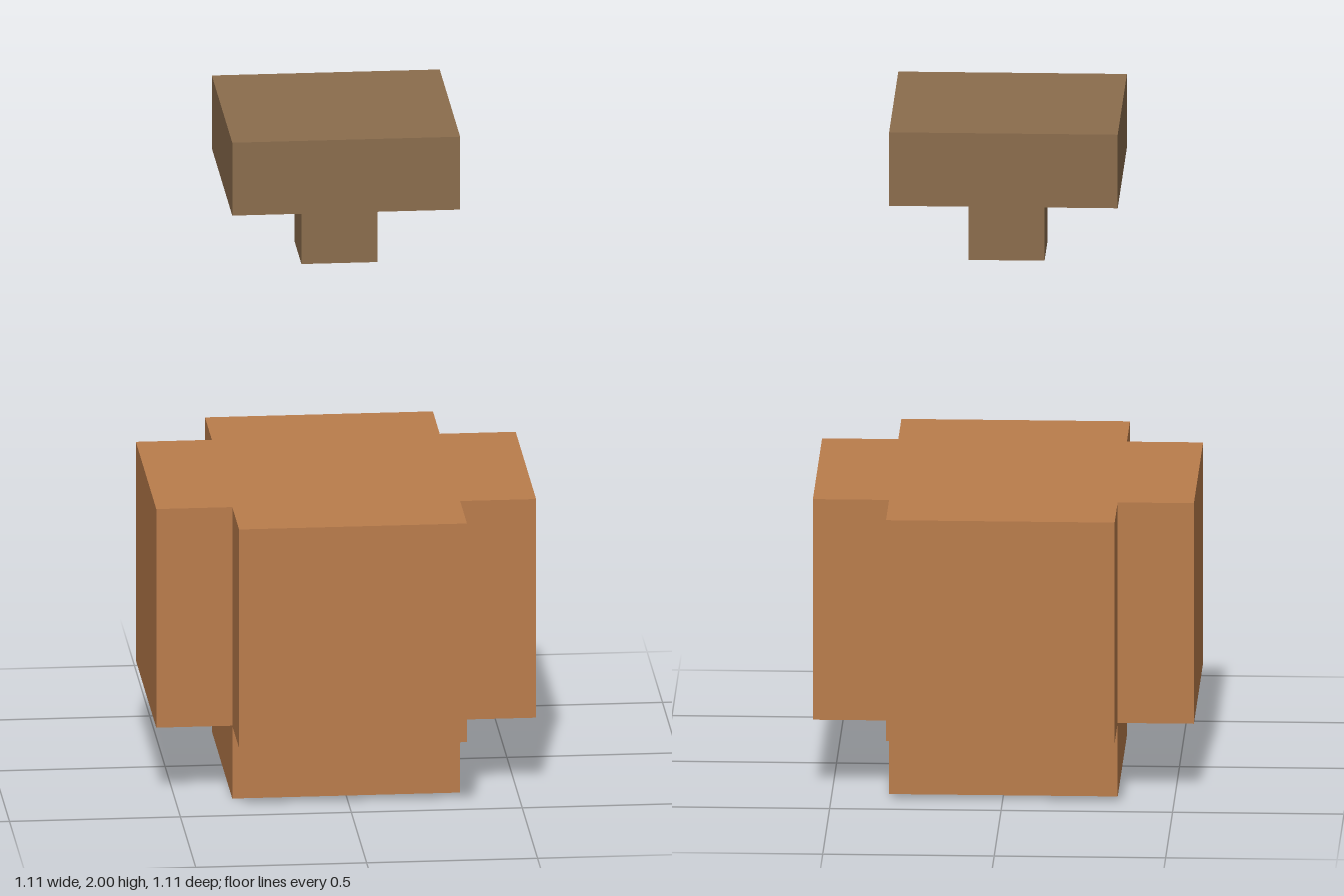
import * as THREE from 'three';

const U = 2 / 9; // modular unit: the model is nine units tall

export function createModel() {
  const model = new THREE.Group();
  const clay = new THREE.MeshStandardMaterial({ color: 0xba7d4c });
  clay.name = 'clay orange';
  const wood = new THREE.MeshStandardMaterial({ color: 0x8b6d4d });
  wood.name = 'dull brown';

  // Square block, sized and placed in units
  const block = (name, width, bottom, height, material) => {
    const mesh = new THREE.Mesh(new THREE.BoxGeometry(width * U, height * U, width * U), material);
    mesh.position.y = (bottom + height / 2) * U;
    mesh.name = name;
    model.add(mesh);
  };

  // Pot: square foot below a cross-shaped body
  block('potFoot', 3, 0, 1, clay);

  const a = 1.5 * U, b = 2.5 * U;
  const cross = new THREE.Shape([
    [b, -a], [b, a], [a, a], [a, b], [-a, b], [-a, a],
    [-b, a], [-b, -a], [-a, -a], [-a, -b], [a, -b], [a, -a],
  ].map(([x, y]) => new THREE.Vector2(x, y)));
  const bodyGeometry = new THREE.ExtrudeGeometry(cross, { depth: 3 * U, bevelEnabled: false });
  bodyGeometry.rotateX(-Math.PI / 2);
  const body = new THREE.Mesh(bodyGeometry, clay);
  body.position.y = U;
  body.name = 'potBody';
  model.add(body);

  // Floating stopper: narrow plug under a wide cap
  block('stopperPlug', 1, 7, 1, wood);
  block('stopperCap', 3, 8, 1, wood);

  return model;
}
